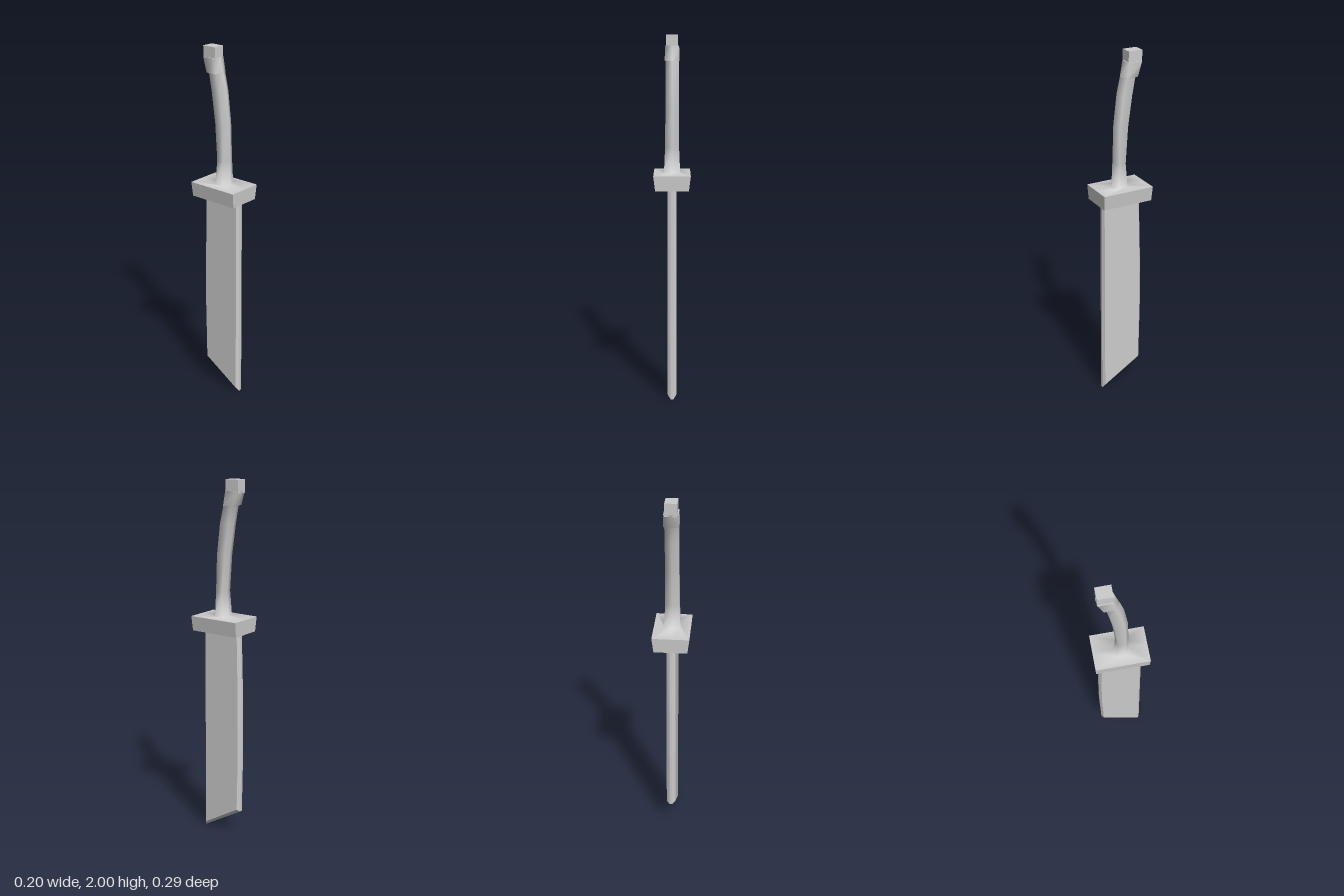
import * as THREE from 'three';

const material = new THREE.MeshStandardMaterial({ color: 0xcccccc });

// Skin a list of equal-length rings of [x, y, z]; caps get their own vertices to stay crisp.
function loft(name, rings, { flat = true, startCap = true, endCap = true } = {}) {
  const n = rings[0].length;
  const positions = rings.flat(2);
  const index = [];
  for (let r = 0; r < rings.length - 1; r++) {
    for (let i = 0; i < n; i++) {
      const a = r * n + i, b = r * n + (i + 1) % n;
      index.push(a, b, b + n, a, b + n, a + n);
    }
  }
  const cap = (ring) => {
    const base = positions.length / 3;
    positions.push(...ring.flat());
    for (let i = 1; i < n - 1; i++) index.push(base, base + i, base + i + 1);
  };
  if (startCap) cap([...rings[0]].reverse());
  if (endCap) cap(rings[rings.length - 1]);
  let geometry = new THREE.BufferGeometry();
  geometry.setAttribute('position', new THREE.Float32BufferAttribute(positions, 3));
  geometry.setIndex(index);
  if (flat) geometry = geometry.toNonIndexed();
  geometry.computeVertexNormals();
  const mesh = new THREE.Mesh(geometry, material);
  mesh.name = name;
  return mesh;
}

// Six-sided grip section with a ridge along its front and back.
function gripRing(y, front, back, w, frontBevel = 0.02, backBevel = 0.01, tilt = 0) {
  const f = front - frontBevel, b = back + backBevel;
  return [
    [0, y + tilt, front], [w, y + tilt, f], [w, y, b],
    [0, y, back], [-w, y, b], [-w, y + tilt, f],
  ];
}

const rectRing = (y, x, z) => [[-x, y, z], [x, y, z], [x, y, -z], [-x, y, -z]];

export function createModel() {
  const group = new THREE.Group();
  group.name = 'sword';

  // Blade: flat sides with a bevel all round and a slanted tip, as [z, y] outlines
  const edge = [[0.115, 1.2], [0.123, 0], [-0.12, 0.143], [-0.127, 0.5], [-0.125, 0.8], [-0.113, 1.2]];
  const side = [[0.107, 1.2], [0.112, 0.025], [-0.107, 0.157], [-0.113, 0.5], [-0.111, 0.8], [-0.102, 1.2]];
  const at = (outline, x) => outline.map(([z, y]) => [x, y, z]);
  group.add(loft('blade', [
    at(side, -0.025), at(edge, -0.008), at(edge, 0.008), at(side, 0.025),
  ]));

  // Guard: block that widens slightly upward; the handle skin closes its top
  group.add(loft('guard', [
    rectRing(1.18, 0.09, 0.144), rectRing(1.262, 0.1, 0.147),
  ], { endCap: false }));

  // Handle: flares out over the guard, then curves back to the pommel
  group.add(loft('handle', [
    gripRing(1.262, 0.147, -0.147, 0.1, 0, 0),
    gripRing(1.265, 0.048, -0.032, 0.044),
    gripRing(1.4, 0.045, -0.024, 0.038),
    gripRing(1.6, 0.04, -0.039, 0.036),
    gripRing(1.77, 0.02, -0.063, 0.036),
    gripRing(1.86, -0.001, -0.08, 0.036),
    gripRing(1.865, -0.003, -0.094, 0.04),
    gripRing(1.94, -0.024, -0.116, 0.038, 0.012, 0.008, 0.004),
  ], { flat: false, startCap: false }));

  // Pommel cap
  const pommel = new THREE.Mesh(new THREE.BoxGeometry(0.064, 0.07, 0.079), material);
  pommel.name = 'pommel';
  pommel.position.set(0, 1.965, -0.073);
  group.add(pommel);

  return group;
}
